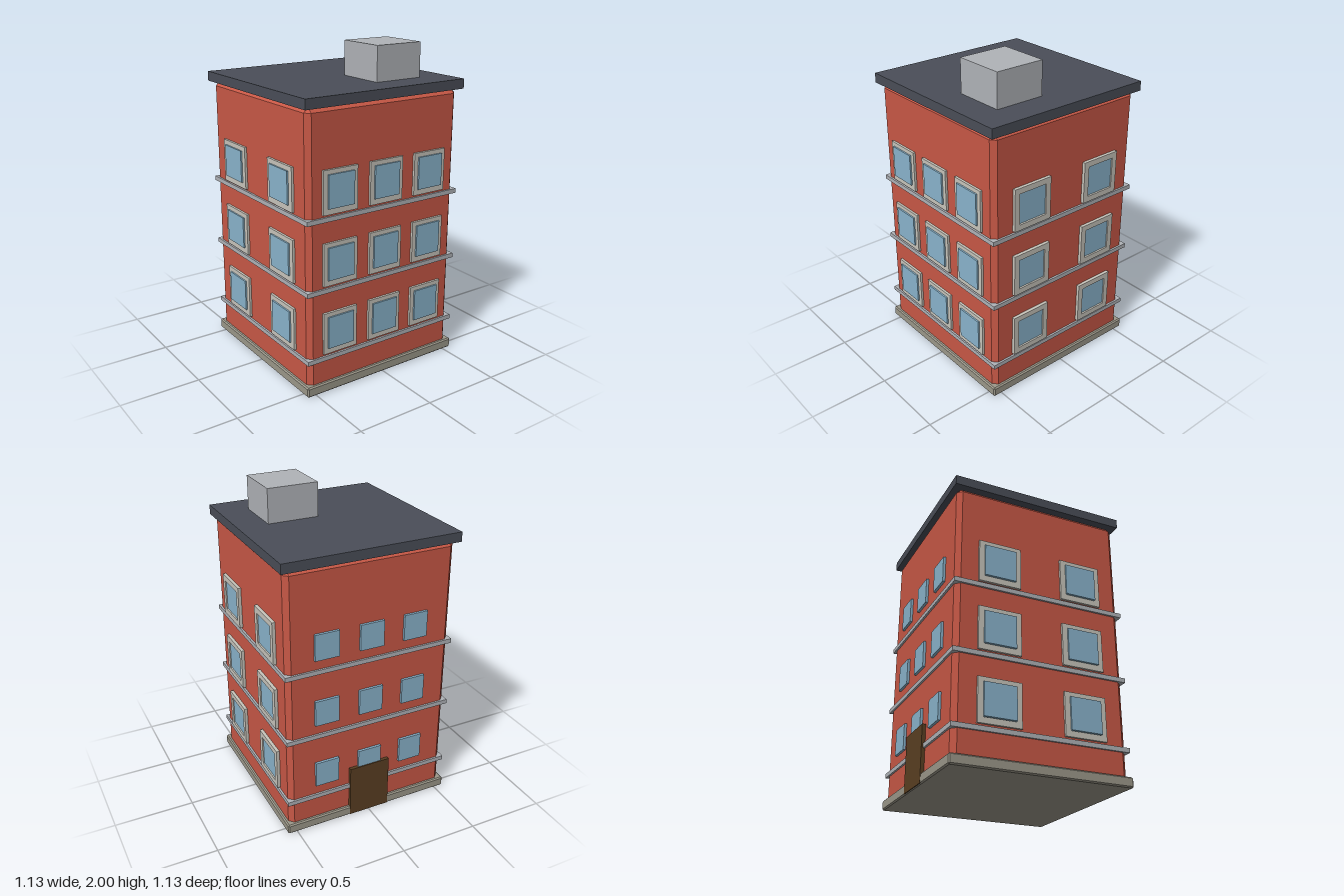
import * as THREE from 'three';
import { ConvexGeometry } from 'three/addons/geometries/ConvexGeometry.js';

const mat = (name, color) => {
  const m = new THREE.MeshStandardMaterial({ color });
  m.name = name;
  return m;
};

// Box between two heights with all edges chamfered by c
function chamferBox(w, y0, y1, d, c) {
  const pts = [];
  const h = [w / 2, (y1 - y0) / 2, d / 2];
  for (const sx of [-1, 1]) for (const sy of [-1, 1]) for (const sz of [-1, 1]) {
    for (let full = 0; full < 3; full++) {
      const p = [sx, sy, sz].map((s, i) => s * (h[i] - (i === full ? 0 : c)));
      pts.push(new THREE.Vector3(p[0], p[1] + (y0 + y1) / 2, p[2]));
    }
  }
  return new ConvexGeometry(pts);
}

// Rectangular ring extruded outwards along +z
function frameGeometry(w, h, iw, ih, depth) {
  const rect = (P, a, b) => new P([[-a, -b], [a, -b], [a, b], [-a, b]].map(([x, y]) => new THREE.Vector2(x / 2, y / 2)));
  const s = rect(THREE.Shape, w, h);
  s.holes.push(rect(THREE.Path, iw, ih));
  return new THREE.ExtrudeGeometry(s, { depth, bevelEnabled: false });
}

export function createModel() {
  const group = new THREE.Group();
  const brick = mat('brick red', 0xc85846);
  const slate = mat('roof slate', 0x4a4e58);
  const grey = mat('concrete grey', 0xb0b3b8);
  const stone = mat('plinth stone', 0x9c988a);
  const cream = mat('frame cream', 0xc8c5bc);
  const glass = mat('window glass', 0x8ab4cc);
  const wood = mat('door brown', 0x5a3f22);

  const add = (name, geo, material, x = 0, y = 0, z = 0, parent = group) => {
    const m = new THREE.Mesh(geo, material);
    m.name = name;
    m.position.set(x, y, z);
    parent.add(m);
    return m;
  };
  const box = (w, h, d) => new THREE.BoxGeometry(w, h, d);

  // Main volumes
  add('walls', chamferBox(1.08, 0.005, 1.73, 1.08, 0.03), brick);
  add('plinth', chamferBox(1.12, 0, 0.063, 1.12, 0.008), stone);
  add('roofSlab', box(1.13, 0.06, 1.13), slate, 0, 1.757, 0);
  add('roofHut', box(0.324, 0.215, 0.324), grey, 0.215, 1.8925, 0.215);
  for (const y of [0.22, 0.653, 1.086]) add('floorBand', box(1.105, 0.028, 1.105), grey, 0, y, 0);

  // Windows on each wall; every wall group is turned so its local +z faces out
  const wall = 0.54;
  const walls = [
    { name: 'front', turn: 0, cols: [-0.325, 0, 0.325], w: 0.235, h: 0.262, pw: 0.18, ph: 0.2, frame: 0.555, pane: 0.565 },
    { name: 'right', turn: Math.PI / 2, cols: [-0.268, 0.268], w: 0.268, h: 0.268, pw: 0.2, ph: 0.2, frame: 0.56, pane: 0.552 },
    { name: 'left', turn: -Math.PI / 2, cols: [-0.268, 0.268], w: 0.268, h: 0.268, pw: 0.2, ph: 0.2, frame: 0.555, pane: 0.565 },
    { name: 'back', turn: Math.PI, cols: [-0.29, 0, 0.29], pw: 0.155, ph: 0.165, pane: 0.556 },
  ];
  for (const s of walls) {
    const side = new THREE.Group();
    side.name = s.name + 'Windows';
    side.rotation.y = s.turn;
    group.add(side);
    for (let floor = 0; floor < 3; floor++) {
      const y = 0.381 + floor * 0.432;
      for (const x of s.cols) {
        const depth = s.pane - wall + 0.01;
        add('windowPane', box(s.pw, s.ph, depth), glass, x, y + (s.frame ? 0.005 : 0), s.pane - depth / 2, side);
        if (s.frame) {
          add('windowFrame', frameGeometry(s.w, s.h, s.pw - 0.004, s.ph - 0.004, s.frame - wall + 0.01), cream, x, y, wall - 0.01, side);
        }
      }
    }
  }

  // Back door
  add('door', box(0.27, 0.345, 0.04), wood, 0, 0.1775, -0.542);
  return group;
}
